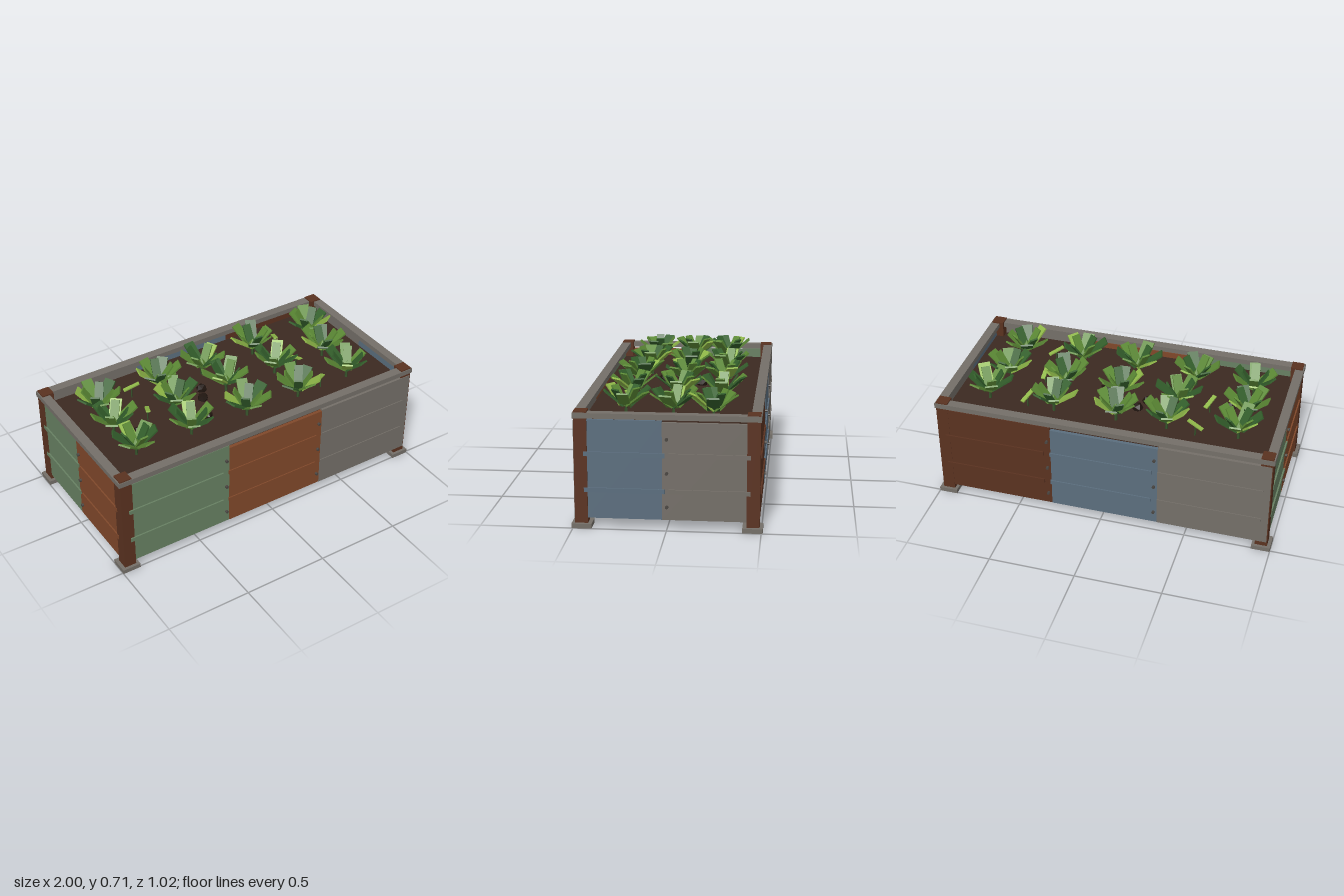
import * as THREE from 'three';

const mat = (color) => new THREE.MeshStandardMaterial({ color, flatShading: true });
const M = {
  green: mat(0x678062), rust: mat(0x80482a), darkRust: mat(0x5a3220), grey: mat(0x746f68),
  blue: mat(0x5b6e7e), soil: mat(0x3c2921), clod: mat(0x20150f), stem: mat(0x35512a),
  bolt: mat(0x4a4642), leafDark: mat(0x34602c), leafMid: mat(0x5c8a35), leafLight: mat(0x8fb848),
};

let seed = 7;
const rand = (a, b) => {
  seed = (seed * 16807) % 2147483647;
  return a + (b - a) * (seed / 2147483647);
};

function add(parent, name, geometry, material, x = 0, y = 0, z = 0) {
  const mesh = new THREE.Mesh(geometry, material);
  mesh.name = name;
  mesh.position.set(x, y, z);
  parent.add(mesh);
  return mesh;
}

// Box given by its lower and upper limits
function block(parent, name, material, [x0, x1], [y0, y1], [z0, z1]) {
  return add(parent, name, new THREE.BoxGeometry(x1 - x0, y1 - y0, z1 - z0), material,
    (x0 + x1) / 2, (y0 + y1) / 2, (z0 + z1) / 2);
}

// One wall of patchwork panels, built facing +z and turned into place.
// Each panel: [left, right, top, material, outer offset]
function wall(name, turn, depth, panels, ribs, ribLength, bolts) {
  const g = new THREE.Group();
  g.name = name;
  for (const [u0, u1, top, material, out] of panels) {
    block(g, 'panel', material, [u0, u1], [0.053, top], [depth - 0.018, depth + out]);
  }
  ribs.forEach((u, i) => {
    for (const y of [0.21, 0.407]) {
      block(g, 'rib', panels[i][3], [u - ribLength / 2, u + ribLength / 2],
        [y - 0.012, y + 0.012], [depth - 0.005, depth + 0.009]);
    }
  });
  for (const u of bolts) {
    for (const y of [0.125, 0.31, 0.495]) {
      add(g, 'bolt', new THREE.CylinderGeometry(0.009, 0.009, 0.02, 8), M.bolt, u, y, depth + 0.004)
        .rotation.x = Math.PI / 2;
    }
  }
  g.rotation.y = turn;
  return g;
}

// Flat leaf that starts at the crown and leans outwards
function leaf(parent, material, yaw, tilt, width, length, y) {
  const geo = new THREE.BoxGeometry(width, length, 0.01).translate(0, length / 2, 0);
  geo.rotateX(tilt).translate(0, y, 0.02).rotateY(yaw);
  add(parent, 'leaf', geo, material);
}

function plant(x, z) {
  const g = new THREE.Group();
  g.name = 'plant';
  g.position.set(x, 0, z);
  add(g, 'stem', new THREE.CylinderGeometry(0.007, 0.01, 0.09, 5), M.stem, 0, 0.57, 0);
  const start = rand(0, 6.28);
  const tones = [M.leafDark, M.leafMid, M.leafMid, M.leafDark, M.leafMid, M.leafLight];
  tones.forEach((tone, i) => {
    leaf(g, tone, start + i * Math.PI / 3 + rand(-0.15, 0.15), rand(0.8, 0.95),
      rand(0.06, 0.075), rand(0.125, 0.15), 0.605);
  });
  for (let i = 0; i < 4; i++) {
    leaf(g, i % 2 ? M.leafMid : M.leafDark, start + 0.5 + i * Math.PI / 2, rand(0.5, 0.65), 0.05, 0.115, 0.61);
  }
  add(g, 'crown', new THREE.ConeGeometry(0.032, 0.05, 5), M.leafMid, 0, 0.63, 0);
  return g;
}

// Young shoot: thin stem with a single blade
function shoot(x, z, yaw) {
  const g = new THREE.Group();
  g.name = 'shoot';
  g.position.set(x, 0, z);
  add(g, 'stem', new THREE.CylinderGeometry(0.004, 0.005, 0.07, 5), M.stem, 0, 0.57, 0);
  const blade = new THREE.BoxGeometry(0.025, 0.008, 0.1).rotateX(-0.35).rotateY(yaw);
  add(g, 'blade', blade, M.leafLight, 0, 0.613, 0);
  return g;
}

export function createModel() {
  const model = new THREE.Group();
  model.name = 'raisedPlanter';

  // Corner posts on foot plates
  for (const sx of [-1, 1]) {
    for (const sz of [-1, 1]) {
      add(model, 'cornerPost', new THREE.BoxGeometry(0.07, 0.615, 0.07), M.darkRust, sx * 0.945, 0.3295, sz * 0.456);
      add(model, 'footPlate', new THREE.BoxGeometry(0.108, 0.025, 0.108), M.grey, sx * 0.946, 0.0125, sz * 0.454);
    }
  }

  // Top rails
  for (const s of [-1, 1]) {
    add(model, 'longRail', new THREE.BoxGeometry(1.975, 0.03, 0.055), M.grey, 0, 0.615, s * 0.4675);
    add(model, 'endRail', new THREE.BoxGeometry(0.053, 0.029, 0.88), M.grey, s * 0.961, 0.615, 0);
  }

  // Panelled walls
  const thirds = (a, b, c) => [
    [-0.912, -0.295, 0.592, a, 0], [-0.295, 0.335, 0.576, b, 0.002], [0.335, 0.975, 0.585, c, 0.004],
  ];
  const halves = (a, b) => [[-0.425, -0.025, 0.592, a, 0], [-0.025, 0.425, 0.584, b, 0.001]];
  model.add(
    wall('frontWall', 0, 0.49, thirds(M.green, M.rust, M.grey), [-0.635, 0, 0.635], 0.6, [-0.315, 0.315]),
    wall('backWall', Math.PI, 0.49, thirds(M.darkRust, M.blue, M.grey), [-0.635, 0, 0.635], 0.6, [-0.315, 0.315]),
    wall('leftWall', Math.PI / 2, 0.974, halves(M.blue, M.grey), [-0.225, 0.225], 0.43, [0]),
    wall('rightWall', -Math.PI / 2, 0.974, halves(M.green, M.rust), [-0.225, 0.225], 0.43, [0]),
  );

  // Soil with loose clods
  block(model, 'soil', M.soil, [-0.958, 0.958], [0.075, 0.54], [-0.474, 0.474]);
  const clods = [[-0.11, -0.1], [-0.15, -0.02], [-0.22, 0.14], [-0.63, 0.06], [-0.27, 0.03], [0.12, 0.03]];
  for (const [x, z] of clods) {
    const clod = add(model, 'clod', new THREE.IcosahedronGeometry(0.034, 0), M.clod, x, 0.548, z);
    clod.rotation.set(rand(0, 1), rand(0, 3), 0);
  }

  // Three rows of plants
  const rows = [
    [[-0.73, -0.22], [-0.32, -0.24], [-0.02, -0.24], [0.35, -0.25], [0.75, -0.23]],
    [[-0.74, -0.02], [-0.34, -0.01], [0.01, -0.02], [0.35, -0.01], [0.7, -0.01]],
    [[-0.73, 0.22], [-0.38, 0.23], [-0.02, 0.25], [0.33, 0.26], [0.69, 0.25]],
  ];
  for (const row of rows) for (const [x, z] of row) model.add(plant(x, z));

  // Shoots between the plants
  const shoots = [[-0.49, -0.26, 1.3], [-0.52, -0.02, -0.4], [0.51, -0.25, -0.4], [0.49, 0.01, 0], [0.5, 0.25, -0.9]];
  for (const s of shoots) model.add(shoot(...s));

  return model;
}
